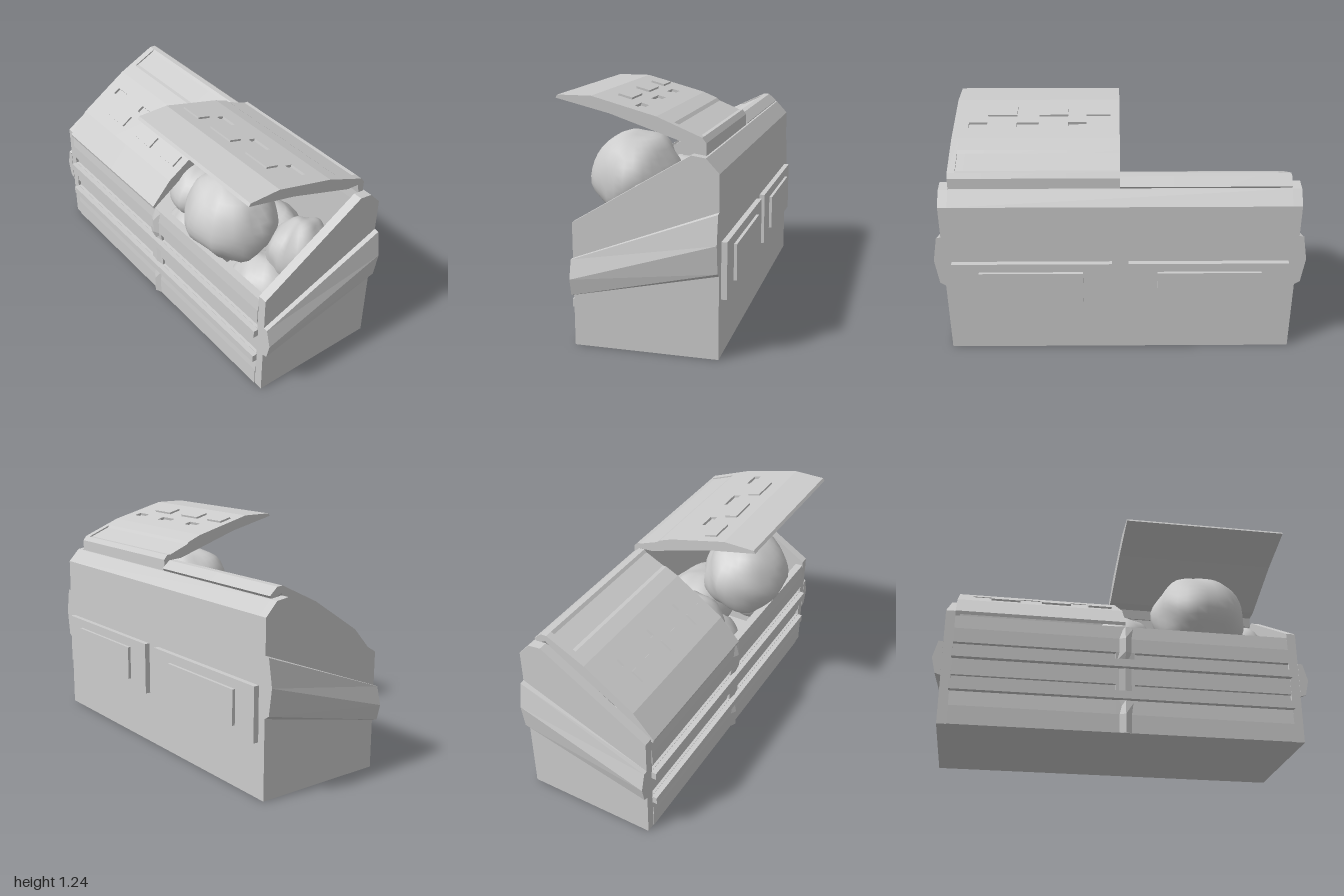
import * as THREE from 'three';
import { mergeVertices } from 'three/addons/utils/BufferGeometryUtils.js';

const mat = new THREE.MeshStandardMaterial({ color: 0xcccccc, side: THREE.DoubleSide });

function add(parent, name, geometry) {
  const mesh = new THREE.Mesh(geometry, mat);
  mesh.name = name;
  parent.add(mesh);
  return mesh;
}

// Box given by its min and max on each axis
function box(x0, x1, y0, y1, z0, z1) {
  return new THREE.BoxGeometry(x1 - x0, y1 - y0, z1 - z0)
    .translate((x0 + x1) / 2, (y0 + y1) / 2, (z0 + z1) / 2);
}

// Extrude a [z, y] profile along x from x0 to x1
function prism(profile, x0, x1) {
  const shape = new THREE.Shape(profile.map(([z, y]) => new THREE.Vector2(z, y)));
  return new THREE.ExtrudeGeometry(shape, { depth: x1 - x0, bevelEnabled: false })
    .rotateY(-Math.PI / 2).translate(x1, 0, 0);
}

// Sloped fork sleeve: one cross-section lofted from the front to the back
function sleeve(side) {
  const front = [[0.95, 0.45], [0.975, 0.45], [1, 0.355], [0.98, 0.27], [0.95, 0.26]];
  const back = [[0.95, 0.73], [0.975, 0.725], [1, 0.583], [0.98, 0.44], [0.95, 0.42]];
  const p = [];
  const put = (...pts) => {
    if (side < 0) pts.reverse();
    pts.forEach(([x, y, z]) => p.push(side * x, y, z));
  };
  const f = front.map(([x, y]) => [x, y, 0.347]);
  const b = back.map(([x, y]) => [x, y, -0.385]);
  for (let i = 0; i < 5; i++) {
    const j = (i + 1) % 5;
    put(f[i], f[j], b[j]);
    put(f[i], b[j], b[i]);
    if (i > 0 && i < 4) {
      put(f[0], f[i + 1], f[i]);
      put(b[0], b[i], b[i + 1]);
    }
  }
  const g = new THREE.BufferGeometry();
  g.setAttribute('position', new THREE.Float32BufferAttribute(p, 3));
  g.computeVertexNormals();
  return g;
}

// Lumpy smooth rubbish bag
function bag(x, y, z, rx, ry, rz, seed) {
  let g = new THREE.SphereGeometry(1, 28, 18);
  g.deleteAttribute('uv');
  g.deleteAttribute('normal');
  g = mergeVertices(g, 1e-4);
  const pos = g.attributes.position;
  const v = new THREE.Vector3();
  for (let i = 0; i < pos.count; i++) {
    v.fromBufferAttribute(pos, i);
    const k = 1 + 0.035 * Math.sin(5 * v.x + seed) * Math.cos(4 * v.y - seed)
      + 0.03 * Math.sin(7 * v.z + 4 * v.y + 2 * seed) + 0.02 * Math.cos(9 * v.x - 6 * v.z + seed);
    v.multiplyScalar(k);
    pos.setXYZ(i, v.x * rx, v.y * ry, v.z * rz);
  }
  g.computeVertexNormals();
  return g.translate(x, y, z);
}

// Lid in its raised pose around the hinge; mirror is -1 for the right-hand lid
function makeLid(name, mirror) {
  const lid = new THREE.Group();
  lid.name = name;
  const hz = -0.3, hy = 1.0;
  const topY = (z) => 1.155 + (z + 0.07) * 0.2656;
  const rearY = (z) => 1.065 + (z + 0.29) * 0.409;
  const profile = (slot, groove) => {
    const pts = [[-0.28, 0.98], [-0.27, 1.035], [-0.2, 1.04], [0.16, 1.16], [0.43, 1.225], [0.42, 1.24], [0.25, 1.24]];
    if (slot) pts.push([0.06, topY(0.06)], [0.063, topY(0.06) - 0.014], [0.023, topY(0.02) - 0.014], [0.02, topY(0.02)]);
    pts.push([-0.07, 1.155]);
    if (groove) pts.push([-0.145, rearY(-0.145)], [-0.16, rearY(-0.16) - 0.008], [-0.27, rearY(-0.27) - 0.008]);
    pts.push([-0.29, 1.065], [-0.31, 1.04], [-0.31, 0.98]);
    return pts.map(([z, y]) => [z - hz, y - hy]);
  };
  const place = (a, b) => (mirror > 0 ? [a, b] : [-b, -a]);

  // Strips across the lid, some carrying a small recessed slot
  const cuts = [0, 0.18, 0.28, 0.44, 0.56, 0.72, 0.82, 0.86, 0.9];
  for (let i = 0; i < cuts.length - 1; i++) {
    add(lid, 'lidPanel', prism(profile(i % 2 === 1 && i < 6, i < 7), ...place(cuts[i], cuts[i + 1])));
  }
  // Raised blocks between the slots
  for (const [a, b] of [[0.05, 0.18], [0.28, 0.44], [0.56, 0.72]]) {
    const block = [[0.11, topY(0.11) - 0.005], [0.18, topY(0.18) - 0.005], [0.177, topY(0.18) + 0.01], [0.107, topY(0.11) + 0.01]];
    add(lid, 'lidBlock', prism(block.map(([z, y]) => [z - hz, y - hy]), ...place(a, b)));
  }
  lid.position.set(0, hy, hz);
  return lid;
}

export function createModel() {
  const model = new THREE.Group();
  model.name = 'wasteContainer';

  // Side walls and fork sleeves
  const wall = [[0.345, 0], [0.345, 0.63], [-0.25, 0.99], [-0.32, 0.98], [-0.385, 0.91], [-0.385, 0]];
  for (const s of [-1, 1]) {
    add(model, 'sideWall', prism(wall, s > 0 ? 0.9 : -0.95, s > 0 ? 0.95 : -0.9));
    add(model, 'forkSleeve', sleeve(s));
  }

  // Floor, back wall and bevelled rear beam
  add(model, 'floor', box(-0.9, 0.9, 0, 0.03, -0.38, 0.32));
  add(model, 'backWall', prism([[-0.385, 0], [-0.33, 0], [-0.29, 0.91], [-0.29, 0.98], [-0.32, 0.98], [-0.385, 0.91]], -0.9, 0.9));

  // Front wall, with a pair of grooves on each side of the centre
  const frontProfile = (grooves) => {
    const pts = [[0.3, 0], [0.349, 0], [0.349, 0.1], [0.343, 0.18], [0.343, 0.225]];
    if (grooves) pts.push([0.328, 0.226], [0.328, 0.269]);
    pts.push([0.343, 0.27], [0.343, 0.405]);
    if (grooves) pts.push([0.328, 0.406], [0.328, 0.449]);
    pts.push([0.349, 0.45], [0.349, 0.53], [0.343, 0.605], [0.3, 0.605]);
    return pts;
  };
  add(model, 'frontWall', prism(frontProfile(true), -0.9, -0.05));
  add(model, 'frontWall', prism(frontProfile(false), -0.05, 0.05));
  add(model, 'frontWall', prism(frontProfile(true), 0.05, 0.9));

  // Front rails and pointed centre rib
  for (const y of [0.18, 0.36]) add(model, 'frontRail', box(-0.905, 0.905, y, y + 0.043, 0.335, 0.372));
  const ribRows = [[0, 0.365], [0.1, 0.365], [0.18, 0.349], [0.4, 0.349], [0.45, 0.365], [0.53, 0.365], [0.605, 0.346]];
  const p = [], idx = [];
  ribRows.forEach(([y, z], i) => {
    p.push(-0.05, y, 0.34, 0, y, z, 0.05, y, 0.34);
    if (i === 0) return;
    for (const k of [0, 1]) {
      const a = (i - 1) * 3 + k, b = i * 3 + k;
      idx.push(a, a + 1, b + 1, a, b + 1, b);
    }
  });
  let rib = new THREE.BufferGeometry();
  rib.setAttribute('position', new THREE.Float32BufferAttribute(p, 3));
  rib.setIndex(idx);
  rib = rib.toNonIndexed();
  rib.computeVertexNormals();
  add(model, 'centreRib', rib);

  // Stepped plates on the back
  for (const s of [-1, 1]) {
    const span = (a, b) => (s > 0 ? [a, b] : [-b, -a]);
    add(model, 'backPlate', box(...span(0.045, 0.905), 0.29, 0.575, -0.414, -0.38));
    add(model, 'backPlateInset', box(...span(0.2, 0.76), 0.34, 0.525, -0.43, -0.41));
  }

  // Lids: left raised, right closed
  model.add(makeLid('openLid', 1));
  const closed = makeLid('closedLid', -1);
  closed.rotation.x = 0.838;
  model.add(closed);

  // Rubbish bags
  const bags = [
    [0.45, 0.775, 0.17, 0.26, 0.23, 0.235, 1.1],
    [0.76, 0.65, -0.03, 0.14, 0.17, 0.18, 2.3],
    [0.03, 0.62, 0.03, 0.18, 0.17, 0.2, 3.7],
    [0.7, 0.46, 0.13, 0.19, 0.15, 0.17, 4.9],
    [0.4, 0.5, -0.1, 0.27, 0.2, 0.2, 0.4],
    [0.12, 0.4, 0.1, 0.24, 0.17, 0.19, 5.6],
  ];
  for (const b of bags) add(model, 'rubbishBag', bag(...b));

  return model;
}
